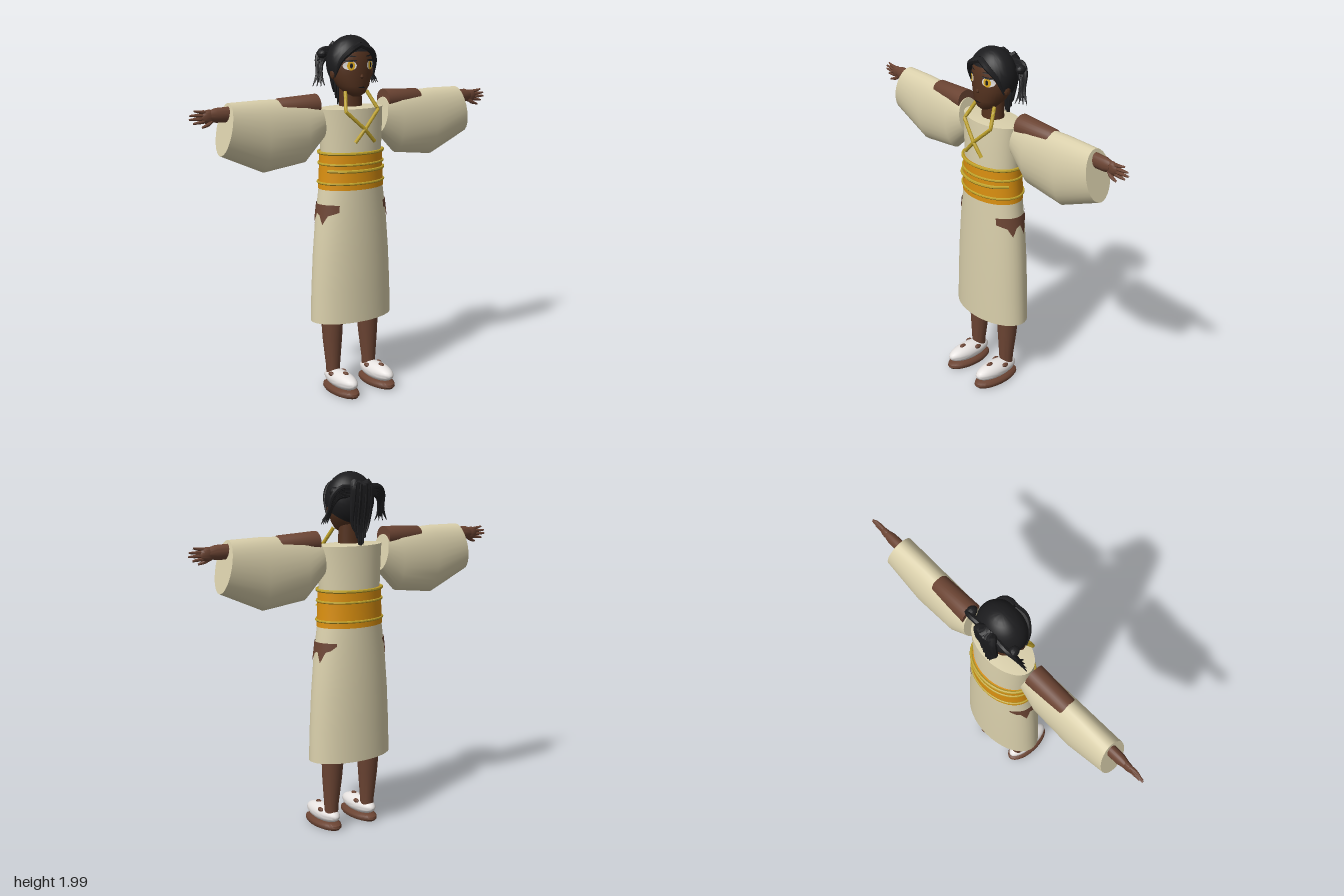
import * as THREE from 'three';
import { toCreasedNormals } from 'three/addons/utils/BufferGeometryUtils.js';

const V = (x, y, z) => new THREE.Vector3(x, y, z);
const mat = (name, color, side = THREE.FrontSide) =>
  Object.assign(new THREE.MeshStandardMaterial({ color, side }), { name });

// Skin a surface over rings of points, with optional end caps
function loft(rings, capStart = true, capEnd = true) {
  const n = rings[0].length, pos = [], index = [];
  rings.forEach(r => r.forEach(p => pos.push(p.x, p.y, p.z)));
  for (let i = 0; i < rings.length - 1; i++) {
    for (let j = 0; j < n; j++) {
      const a = i * n + j, b = i * n + (j + 1) % n;
      index.push(a, b, a + n, b, b + n, a + n);
    }
  }
  const cap = (ring, start, flip) => {
    const c = ring.reduce((s, p) => s.add(p), V(0, 0, 0)).divideScalar(n);
    const k = pos.length / 3;
    pos.push(c.x, c.y, c.z);
    for (let j = 0; j < n; j++) {
      const a = start + j, b = start + (j + 1) % n;
      if (flip) index.push(k, b, a); else index.push(k, a, b);
    }
  };
  if (capStart) cap(rings[0], 0, true);
  if (capEnd) cap(rings[rings.length - 1], (rings.length - 1) * n, false);
  const g = new THREE.BufferGeometry();
  g.setAttribute('position', new THREE.Float32BufferAttribute(pos, 3));
  g.setIndex(index);
  return g;
}

const circle = (n, f) => Array.from({ length: n }, (_, j) => f(j / n * Math.PI * 2));
// Upright loft from rows of [y, rx, rz, centreZ, centreX]
const upright = (rows, n = 32) => loft(rows.map(([y, rx, rz, cz, cx = 0]) =>
  circle(n, a => V(cx + rx * Math.sin(a), y, cz + rz * Math.cos(a)))));
// Sideways loft from rows of [topX, topY, bottomX, bottomY, rz]
const sideways = (rows, z, n = 28) => loft(rows.map(([xt, yt, xb, yb, rz]) =>
  circle(n, a => {
    const t = (1 - Math.cos(a)) / 2;
    return V(xt + (xb - xt) * t, yt + (yb - yt) * t, z + rz * Math.sin(a));
  })));

function tube(points, r, taper = 0, closed = false, segs = 14) {
  const curve = new THREE.CatmullRomCurve3(points, closed, 'centripetal');
  const g = new THREE.TubeGeometry(curve, segs, r, 7, closed), p = g.attributes.position;
  for (let i = 0; i < p.count && taper; i++) {
    const t = Math.floor(i / 8) / segs, c = curve.getPointAt(t);
    const v = V(0, 0, 0).fromBufferAttribute(p, i).sub(c).multiplyScalar(1 - taper * t * t).add(c);
    p.setXYZ(i, v.x, v.y, v.z);
  }
  return g;
}

const ball = (x, y, z, rx, ry, rz) => new THREE.SphereGeometry(1, 24, 16).scale(rx, ry, rz).translate(x, y, z);

function mirrored(geo) {
  const g = geo.clone().scale(-1, 1, 1), ix = g.index;
  for (let i = 0; i < ix.count; i += 3) {
    const a = ix.getX(i);
    ix.setX(i, ix.getX(i + 2));
    ix.setX(i + 2, a);
  }
  return g;
}

const headRows = [[1.672, 0.02, 0.025, 0.01], [1.69, 0.055, 0.055, 0], [1.73, 0.092, 0.085, -0.02],
  [1.79, 0.116, 0.1, -0.035], [1.86, 0.124, 0.105, -0.04], [1.93, 0.11, 0.09, -0.04], [1.975, 0.06, 0.05, -0.04]];
function faceZ(x, y) {
  const i = Math.max(0, headRows.findIndex(r => r[0] > y) - 1);
  const a = headRows[i], b = headRows[i + 1], t = (y - a[0]) / (b[0] - a[0]);
  const [, rx, rz, cz] = a.map((v, k) => v + (b[k] - v) * t);
  return cz + rz * Math.sqrt(Math.max(0, 1 - (x / rx) ** 2));
}
// Thin oval that follows the face
function facePlate(x, y, w, h, lift, tilt = 0) {
  const g = new THREE.CircleGeometry(1, 20).scale(w, h, 1).rotateZ(tilt).translate(x, y, 0);
  const p = g.attributes.position;
  for (let i = 0; i < p.count; i++) p.setZ(i, faceZ(p.getX(i), p.getY(i)) + lift);
  return g;
}

export function createModel() {
  const model = new THREE.Group();
  model.name = 'robedFigure';
  const cloth = mat('cream cloth', 0xd9cfab), skin = mat('brown skin', 0x6b4433);
  const face = mat('dark face skin', 0x54321f), hair = mat('black hair', 0x1c1c1e, THREE.DoubleSide);
  const sash = mat('orange sash', 0xdb9010), cord = mat('yellow cord', 0xbca02a);
  const white = mat('white', 0xe8e4e2), gold = mat('gold iris', 0xe0ac20);
  const patchMat = mat('brown patch', 0x6b4433, THREE.DoubleSide);

  const add = (name, geo, material) => {
    const m = new THREE.Mesh(toCreasedNormals(geo, 0.8), material);
    m.name = name;
    model.add(m);
  };
  const pair = (name, geo, material) => {
    add(name + 'Left', geo, material);
    add(name + 'Right', mirrored(geo), material);
  };

  // Robe and sash
  add('skirt', upright([[0.42, 0.257, 0.147, -0.04], [0.6, 0.251, 0.146, -0.04], [0.8, 0.24, 0.143, -0.04],
    [1, 0.222, 0.139, -0.04], [1.18, 0.196, 0.133, -0.04]], 40), cloth);
  add('bodice', upright([[1.36, 0.185, 0.126, -0.038], [1.5, 0.192, 0.122, -0.038],
    [1.61, 0.2, 0.114, -0.04], [1.618, 0.07, 0.06, -0.04]], 40), cloth);
  add('sash', upright([[1.17, 0.2, 0.138, -0.04], [1.28, 0.193, 0.136, -0.04], [1.375, 0.192, 0.136, -0.04]], 40), sash);
  [[1.37, 0.194, 0.009], [1.31, 0.194, 0.007], [1.205, 0.2, 0.007]].forEach(([y, rx, r]) =>
    add('sashCord', tube(circle(24, a => V(rx * Math.sin(a), y, -0.04 + 0.139 * Math.cos(a))), r, 0, true, 48), cord));
  add('frontCord', tube([-1.25, -0.8, -0.4, 0, 0.4, 0.8, 1.25].map(a =>
    V(0.196 * Math.sin(a), 1.275, -0.04 + 0.147 * Math.cos(a))), 0.009, 0, false, 30), cord);

  // Crossed neck cord
  const neckCord = new THREE.CurvePath();
  const knots = [V(0.07, 1.7, 0.01), V(0.107, 1.6, 0.068), V(0, 1.5, 0.096), V(-0.065, 1.43, 0.094)];
  for (let i = 0; i < 3; i++) neckCord.add(new THREE.LineCurve3(knots[i], knots[i + 1]));
  pair('neckCord', new THREE.TubeGeometry(neckCord, 30, 0.01, 8), cord);

  // Jagged side patches on the skirt
  const edge = [1.05, 1.04, 1.03, 0.98, 1.03, 1.04, 0.98, 1.04, 1.05, 1.075];
  const patch = new THREE.PlaneGeometry(1, 1, 18, 4), pp = patch.attributes.position;
  for (let i = 0; i < pp.count; i++) {
    const u = pp.getX(i) + 0.5, e = u * (edge.length - 1), k = Math.min(Math.floor(e), edge.length - 2);
    const low = edge[k] + (edge[k + 1] - edge[k]) * (e - k);
    const y = low + (1.09 - low) * (pp.getY(i) + 0.5), a = 0.75 + u * 1.6;
    const t = (y - 1) / 0.18;
    pp.setXYZ(i, (0.2265 - 0.026 * t) * Math.sin(a), y, -0.04 + (0.1435 - 0.006 * t) * Math.cos(a));
  }
  pair('skirtPatch', patch, patchMat);

  // Sleeves, arms and hands
  pair('sleeve', sideways([[0.225, 1.65, 0.19, 1.45, 0.07], [0.32, 1.672, 0.31, 1.33, 0.086],
    [0.56, 1.683, 0.56, 1.3, 0.089], [0.755, 1.68, 0.812, 1.41, 0.082]], -0.046), cloth);
  pair('arm', sideways([[0.228, 0.06, 0.06], [0.46, 0.05, 0.052], [0.5, 0.035, 0.035],
    [0.74, 0.04, 0.03], [0.83, 0.038, 0.028], [0.865, 0.028, 0.02]].map(([x, ry, rz]) => {
    const y = x < 0.48 ? 1.635 : 1.622;
    return [x, y + ry, x, y - ry, rz];
  }), -0.046), skin);
  pair('palm', ball(0.872, 1.617, -0.046, 0.045, 0.037, 0.019), skin);
  [[1.64, 0.955, 1.652], [1.625, 0.978, 1.63], [1.61, 0.982, 1.61], [1.597, 0.96, 1.587]].forEach(([y0, x, y1]) =>
    pair('finger', tube([V(0.88, y0, -0.046), V(0.925, (y0 + y1) / 2, -0.044), V(x, y1, -0.047)], 0.011, 0.6), skin));
  pair('thumb', tube([V(0.85, 1.605, -0.045), V(0.88, 1.58, -0.035), V(0.92, 1.567, -0.03)], 0.012, 0.6), skin);

  // Legs and shoes
  pair('leg', upright([[0.08, 0.038, 0.038, -0.04, 0.125], [0.14, 0.04, 0.041, -0.04, 0.125],
    [0.3, 0.056, 0.054, -0.047, 0.124], [0.46, 0.066, 0.064, -0.052, 0.122]], 24), skin);
  pair('shoe', ball(0.125, 0.08, 0.04, 0.058, 0.05, 0.145), white);
  pair('sole', upright([[0.005, 0.062, 0.14, 0.04, 0.125], [0.018, 0.07, 0.151, 0.04, 0.125],
    [0.032, 0.068, 0.148, 0.04, 0.125], [0.042, 0.055, 0.13, 0.04, 0.125]], 28), skin);
  pair('toeSpot', ball(0.125, 0.123, 0.085, 0.014, 0.013, 0.022), skin);
  [0.082, 0.168].forEach(x => pair('sideSpot', ball(x, 0.108, 0.005, 0.012, 0.013, 0.022), skin));

  // Neck, head and facial features
  add('neck', upright([[1.58, 0.068, 0.058, -0.04], [1.64, 0.066, 0.055, -0.04], [1.74, 0.062, 0.054, -0.045]], 24), face);
  add('head', upright(headRows), face);
  pair('ear', ball(0.125, 1.8, -0.03, 0.013, 0.032, 0.02), face);
  pair('eyeWhite', facePlate(0.066, 1.842, 0.033, 0.024, 0.003), white);
  pair('iris', facePlate(0.063, 1.842, 0.019, 0.025, 0.005), gold);
  pair('pupil', facePlate(0.063, 1.842, 0.007, 0.014, 0.007), hair);
  pair('eyelash', facePlate(0.068, 1.867, 0.036, 0.005, 0.007, -0.08), hair);
  pair('brow', facePlate(0.064, 1.892, 0.034, 0.004, 0.004, 0.1), hair);
  add('nose', ball(0, 1.782, 0.064, 0.009, 0.012, 0.01), face);
  add('mouth', facePlate(0, 1.724, 0.022, 0.004, 0.004), hair);

  // Hair cap, cut high over the face and low at the back
  const hairRings = [];
  for (let i = 14; i >= 0; i--) {
    hairRings.push(circle(40, a => {
      const f = Math.cos(a), s = THREE.MathUtils.smoothstep(f, 0.3, 0.8);
      const end = f > 0 ? 1.95 - 0.83 * s : 1.95 - 0.6 * f;
      const t = Math.max(0.02, end * i / 14);
      return V(0.142 * Math.sin(t) * Math.sin(a), 1.85 + 0.15 * Math.cos(t), -0.04 + 0.115 * Math.sin(t) * f);
    }));
  }
  add('hairCap', loft(hairRings, false, true), hair);
  pair('fringe', tube([V(0, 1.95, 0.045), V(0.06, 1.925, 0.055), V(0.11, 1.87, 0.03), V(0.13, 1.78, -0.005)], 0.018, 0.8), hair);

  // Ponytail down the back and swept side tufts
  for (let i = -3; i <= 3; i++) {
    const x = i * 0.016, drop = 1.58 + Math.abs(i) * 0.035;
    add('ponytailStrand', tube([V(x * 0.5, 1.92, -0.12), V(x, 1.945, -0.15), V(x * 1.2, 1.85, -0.152),
      V(x * 1.1, 1.72, -0.138), V(x * 0.8, drop, -0.145)], 0.02, 0.8), hair);
  }
  for (let i = 0; i < 7; i++) {
    const k = i / 6;
    pair('sideStrand', tube([V(0.05, 1.92 - k * 0.04, -0.13), V(0.125, 1.92 - k * 0.05, -0.135 + k * 0.02),
      V(0.165 - k * 0.012, 1.88 - k * 0.05, -0.12 + k * 0.02), V(0.18 - k * 0.02, 1.8 - k * 0.03, -0.1 + k * 0.02),
      V(0.218 - k * 0.06, 1.73 + (i % 2) * 0.02, -0.085 + k * 0.03)], 0.015, 0.9), hair);
  }
  pair('hairKnot', ball(0.145, 1.9, -0.105, 0.025, 0.024, 0.03), hair);
  return model;
}
